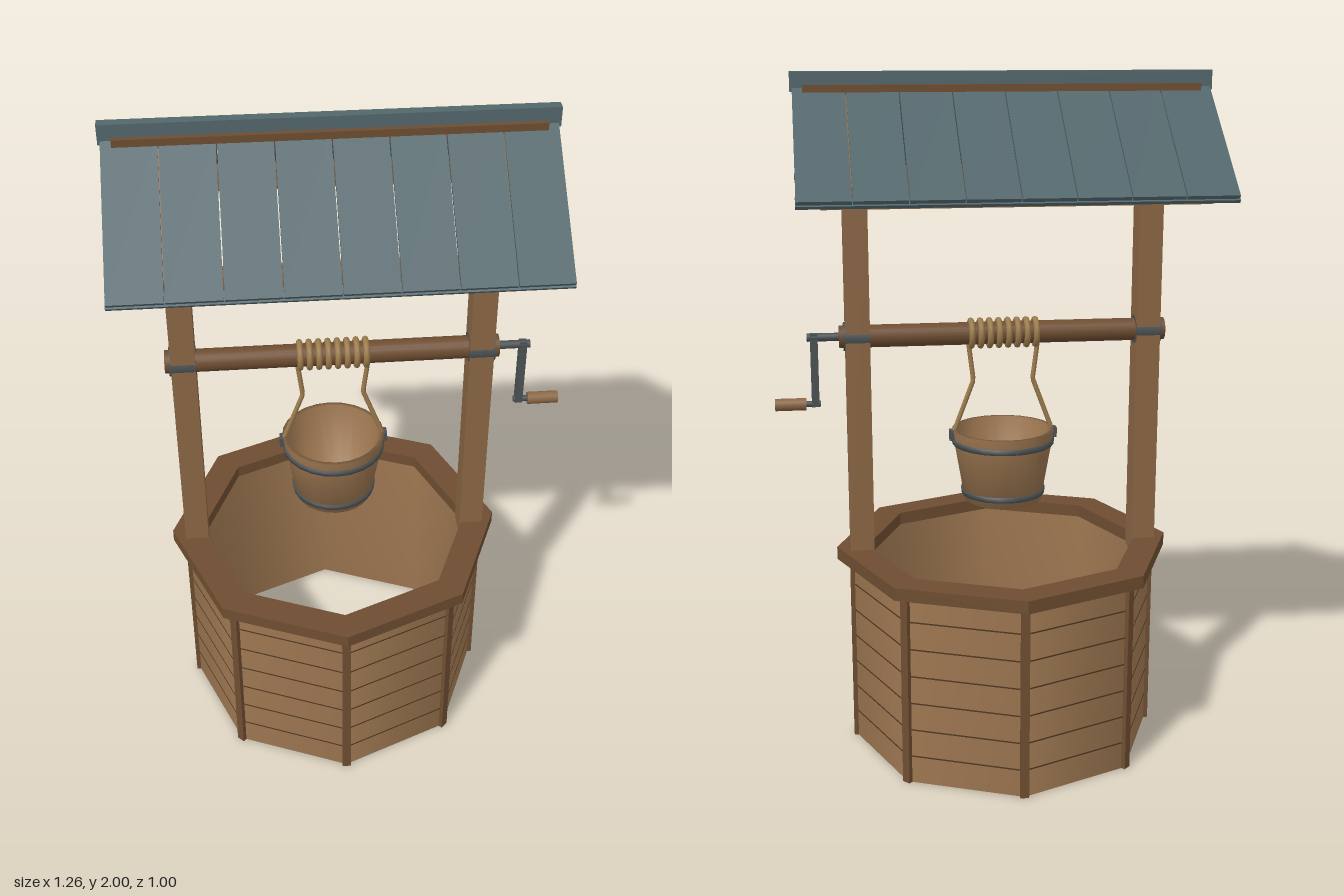
import * as THREE from 'three';

const mat = (color, side = THREE.FrontSide) => new THREE.MeshStandardMaterial({ color, side });
const wood = mat(0x8a6644), darkWood = mat(0x6e4d31), stave = mat(0x9c7650, THREE.DoubleSide);
const seam = mat(0x4f3822), slate = mat(0x52666b), metal = mat(0x4b5154), rope = mat(0x9c7c4c);

function add(parent, name, geometry, material, x = 0, y = 0, z = 0) {
  const mesh = new THREE.Mesh(geometry, material);
  mesh.name = name;
  mesh.position.set(x, y, z);
  parent.add(mesh);
  return mesh;
}
const box = (p, name, m, w, h, d, x, y, z) => add(p, name, new THREE.BoxGeometry(w, h, d), m, x, y, z);

// Cylinder lying along x
function rod(p, name, m, r, length, x, y, z = 0, sides = 20) {
  return add(p, name, new THREE.CylinderGeometry(r, r, length, sides).rotateZ(Math.PI / 2), m, x, y, z);
}
const lathe = (pts, n) => new THREE.LatheGeometry(pts.map(([r, y]) => new THREE.Vector2(r, y)), n);

function octagon(r, Type) {
  const pts = [];
  for (let i = 0; i < 8; i++) pts.push(new THREE.Vector2(r * Math.cos(i * Math.PI / 4), r * Math.sin(i * Math.PI / 4)));
  return new Type(pts);
}

// Octagonal wall, corner battens, plank seams and rim
function buildBase() {
  const g = new THREE.Group();
  g.name = 'base';
  const R = 0.455;
  add(g, 'wall', lathe([[R, 0], [R, 0.58], [R - 0.025, 0.58], [R - 0.025, 0], [R, 0]], 8), stave);
  const apothem = R * Math.cos(Math.PI / 8), side = 2 * R * Math.sin(Math.PI / 8);
  for (let i = 0; i < 8; i++) {
    const corner = new THREE.Group();
    corner.name = 'wallSide';
    corner.rotation.y = i * Math.PI / 4;
    box(corner, 'cornerBatten', darkWood, 0.025, 0.576, 0.025, 0, 0.288, R - 0.005);
    const face = new THREE.Group();
    face.name = 'plankSeams';
    face.rotation.y = Math.PI / 8;
    for (let k = 1; k <= 6; k++) box(face, 'plankSeam', seam, side - 0.02, 0.004, 0.004, 0, k * 0.083, apothem - 0.001);
    corner.add(face);
    g.add(corner);
  }
  const shape = octagon(0.5, THREE.Shape);
  shape.holes.push(octagon(0.41, THREE.Path));
  const rim = new THREE.ExtrudeGeometry(shape, { depth: 0.038, bevelEnabled: false });
  add(g, 'rim', rim.rotateX(-Math.PI / 2), darkWood, 0, 0.576, 0);
  return g;
}

// Posts, ties, plates, rafters, slats and ridge
function buildRoofAndPosts() {
  const g = new THREE.Group();
  g.name = 'frameAndRoof';
  for (const s of [-1, 1]) {
    box(g, 'post', wood, 0.07, 1.14, 0.08, s * 0.425, 1.14, 0);
    box(g, 'tieBeam', wood, 0.05, 0.05, 0.5, s * 0.425, 1.685, 0);
  }
  for (const turn of [0, Math.PI]) {
    const half = new THREE.Group();
    half.name = 'roofHalf';
    half.rotation.y = turn;
    box(half, 'wallPlate', wood, 1.05, 0.058, 0.06, 0, 1.685, 0.275);
    for (const s of [-1, 1]) {
      const rafter = box(half, 'rafter', wood, 0.05, 0.04, 0.38, s * 0.43, 1.815, 0.145);
      rafter.rotation.x = 0.695;
    }
    const slope = new THREE.Group();
    slope.name = 'roofSlope';
    slope.position.set(0, 1.965, 0);
    slope.rotation.x = 0.67;
    for (let i = 0; i < 8; i++) {
      box(slope, 'roofPlank', slate, 0.1445, 0.012, 0.45, (i - 3.5) * 0.1475, -0.004, 0.23);
    }
    box(slope, 'eaveStrip', slate, 1.18, 0.01, 0.035, 0, -0.015, 0.443);
    half.add(slope);
    g.add(half);
  }
  box(g, 'ridgeBeam', darkWood, 1.12, 0.04, 0.06, 0, 1.944, 0);
  box(g, 'ridgeCap', slate, 1.19, 0.055, 0.03, 0, 1.9725, 0);
  return g;
}

// Axle with collars, crank and rope coil
function buildWinch() {
  const g = new THREE.Group();
  g.name = 'winch';
  const y = 1.255;
  rod(g, 'axle', darkWood, 0.033, 0.955, 0, y);
  for (const s of [-1, 1]) rod(g, 'collar', metal, 0.042, 0.076, s * 0.427, y);
  rod(g, 'crankShaft', metal, 0.012, 0.11, 0.515, y);
  box(g, 'crankArm', metal, 0.022, 0.215, 0.022, 0.55, 1.158, 0);
  rod(g, 'crankPin', metal, 0.009, 0.06, 0.565, 1.058);
  rod(g, 'crankHandle', wood, 0.018, 0.09, 0.622, 1.058);
  for (let i = 0; i < 8; i++) {
    const coil = new THREE.TorusGeometry(0.037, 0.009, 8, 24).rotateY(Math.PI / 2);
    add(g, 'ropeCoil', coil, rope, (i - 3.5) * 0.027, y, 0);
  }
  return g;
}

// Bucket with hoops, ears and hanging ropes
function buildBucket() {
  const g = new THREE.Group();
  g.name = 'bucket';
  add(g, 'bucketBody', lathe([[0, 0.75], [0.115, 0.75], [0.152, 0.965], [0.138, 0.965], [0.105, 0.768], [0, 0.768]], 24), stave);
  for (const [r, y] of [[0.148, 0.93], [0.121, 0.777]]) {
    const hoop = lathe([[r - 0.008, y - 0.008], [r + 0.003, y - 0.008], [r + 0.005, y + 0.008], [r - 0.006, y + 0.008]], 24);
    add(g, 'hoop', hoop, metal);
  }
  for (const s of [-1, 1]) {
    box(g, 'ear', metal, 0.018, 0.03, 0.03, s * 0.151, 0.95, 0);
    const path = new THREE.CurvePath();
    const pts = [[0.105, 1.255], [0.1, 1.21], [0.088, 1.115], [0.15, 0.95]].map(([x, y]) => new THREE.Vector3(s * x, y, 0));
    for (let i = 0; i < 3; i++) path.add(new THREE.LineCurve3(pts[i], pts[i + 1]));
    add(g, 'hangingRope', new THREE.TubeGeometry(path, 24, 0.007, 8), rope);
  }
  return g;
}

export function createModel() {
  const model = new THREE.Group();
  model.name = 'well';
  const body = new THREE.Group();
  body.name = 'wellParts';
  body.position.x = -0.037;
  body.add(buildBase(), buildRoofAndPosts(), buildWinch(), buildBucket());
  model.add(body);
  return model;
}
